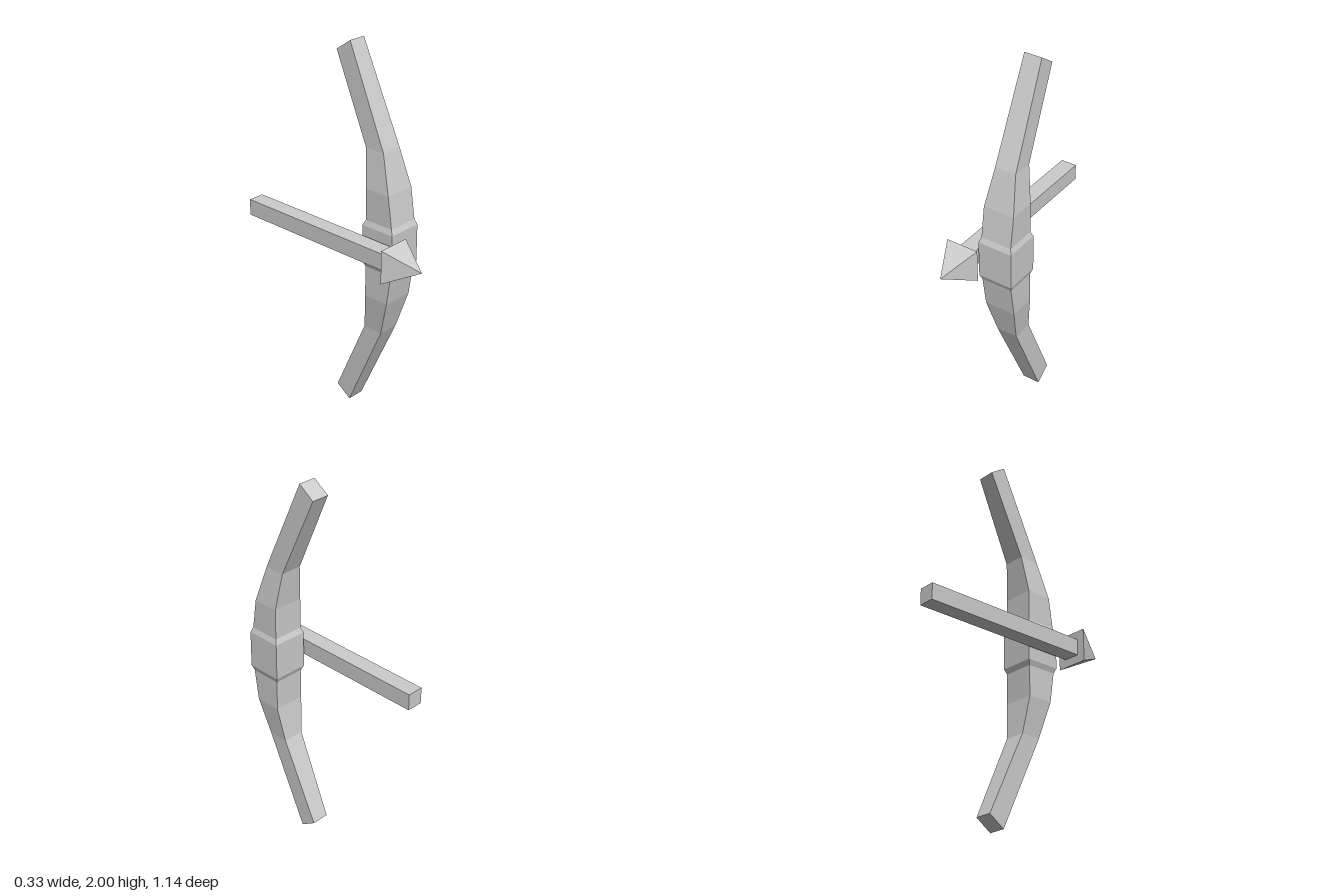
import * as THREE from 'three';

const material = new THREE.MeshStandardMaterial({ color: 0xcccccc, flatShading: true });

function addMesh(group, name, geometry, x, y, z) {
  const mesh = new THREE.Mesh(geometry, material);
  mesh.name = name;
  mesh.position.set(x, y, z);
  group.add(mesh);
}

// Joins four-cornered sections, listed from bottom to top, into a closed solid.
function loftSections(sections) {
  const positions = [];
  const quad = (a, b, c, d) => [a, b, c, a, c, d].forEach((p) => positions.push(...p));
  const rings = sections.map(([half, frontY, frontZ, backY, backZ]) => [
    [half, frontY, frontZ], [-half, frontY, frontZ],
    [-half, backY, backZ], [half, backY, backZ],
  ]);
  for (let s = 0; s < rings.length - 1; s++) {
    const low = rings[s], high = rings[s + 1];
    for (let i = 0; i < 4; i++) {
      const j = (i + 1) % 4;
      quad(low[j], low[i], high[i], high[j]);
    }
  }
  quad(...rings[0]);
  quad(...[...rings[rings.length - 1]].reverse());
  const geometry = new THREE.BufferGeometry();
  geometry.setAttribute('position', new THREE.Float32BufferAttribute(positions, 3));
  geometry.computeVertexNormals();
  return geometry;
}

export function createModel() {
  const model = new THREE.Group();
  model.name = 'bowAndArrow';

  // Upper half of the bow, heights from the grip centre:
  // half width, front y, front z, back y, back z
  const upper = [
    [0.095, 0.1, 0.332, 0.1, 0.14],
    [0.085, 0.128, 0.32, 0.128, 0.152],
    [0.085, 0.295, 0.295, 0.295, 0.152],
    [0.058, 0.495, 0.237, 0.495, 0.125],
    [0.048, 1, 0.01, 0.94, -0.077],
  ];
  const lower = upper.map(([w, fy, fz, by, bz]) => [w, -fy, fz, -by, bz]).reverse();
  addMesh(model, 'bow', loftSections([...lower, ...upper]), 0.07, 1, 0);

  // Arrow: square shaft with a four-sided head
  const arrow = new THREE.Group();
  arrow.name = 'arrow';
  addMesh(arrow, 'arrowShaft', new THREE.BoxGeometry(0.088, 0.088, 0.96), 0, 0, -0.09);
  const head = new THREE.ConeGeometry(0.089 * Math.SQRT2, 0.18, 4);
  head.rotateY(Math.PI / 4).rotateX(Math.PI / 2);
  addMesh(arrow, 'arrowHead', head, 0, 0, 0.48);
  arrow.position.set(-0.08, 1.006, 0);
  model.add(arrow);

  return model;
}
